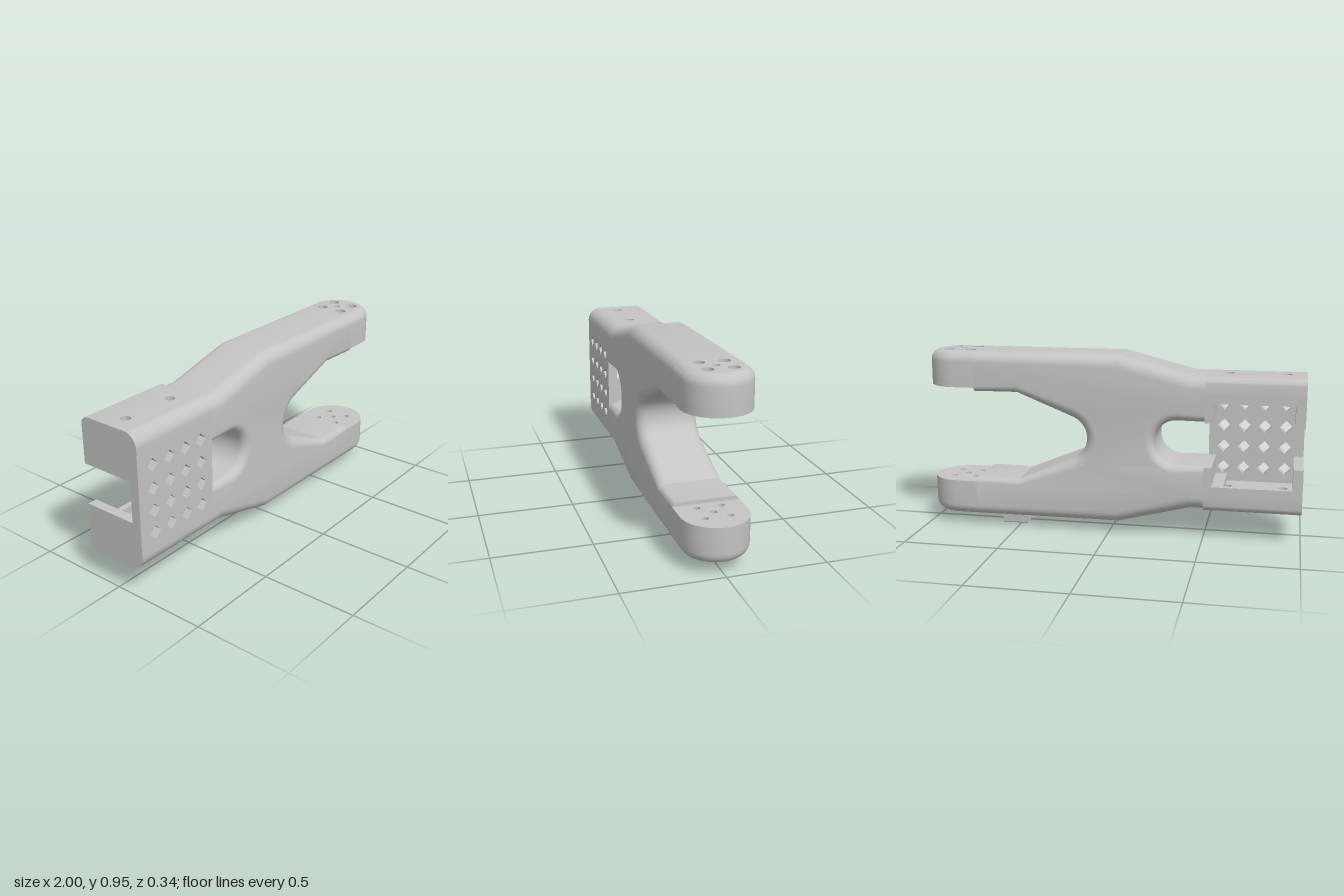
import * as THREE from 'three';
import { toCreasedNormals } from 'three/addons/utils/BufferGeometryUtils.js';

const MID = 0.502;          // height of the mirror line between the two arms
const BACK = -0.164, FRONT = 0.17;

const grey = new THREE.MeshStandardMaterial({ color: 0xc4c4c4 });
grey.name = 'plasticGrey';

function add(parent, name, geometry) {
  const mesh = new THREE.Mesh(geometry, grey);
  mesh.name = name;
  parent.add(mesh);
}

function box(parent, name, x0, x1, y0, y1, z0, z1) {
  const g = new THREE.BoxGeometry(x1 - x0, y1 - y0, z1 - z0);
  g.translate((x0 + x1) / 2, (y0 + y1) / 2, (z0 + z1) / 2);
  add(parent, name, g);
}

// Extrudes a [z, y] section along x
function prism(parent, name, section, x0, x1) {
  const shape = new THREE.Shape(section.map(([z, y]) => new THREE.Vector2(-z, y)));
  const g = new THREE.ExtrudeGeometry(shape, { depth: x1 - x0, bevelEnabled: false });
  add(parent, name, g.rotateY(Math.PI / 2).translate(x0, 0, 0));
}

// Points on an arc, angles in degrees
function arc(cx, cy, r, a0, a1, n) {
  return Array.from({ length: n + 1 }, (_, i) => {
    const a = THREE.MathUtils.degToRad(a0 + (a1 - a0) * i / n);
    return [cx + r * Math.cos(a), cy + r * Math.sin(a)];
  });
}

// Clockwise circle, for drilled holes
const hole = (x, y, r) => arc(x, y, r, 360, 20, 17);

// Slab from a counter-clockwise outline of [x, y, edgeRadius]; ends at x0 and x1 stay flush
function filletedSlab(outline, z0, z1, x0, x1, holes = [], roundBottom = true) {
  const n = outline.length, steps = 8, rings = [], pos = [], idx = [];
  const inset = outline.map(([x, y], i) => {
    const p = outline[(i + n - 1) % n], q = outline[(i + 1) % n];
    const a = new THREE.Vector2(p[1] - y, x - p[0]).normalize();
    const b = new THREE.Vector2(y - q[1], q[0] - x).normalize();
    const m = a.clone().add(b).divideScalar(1 + a.dot(b));
    if (x === x0 || x === x1) m.x = 0;
    return m;
  });
  const wall = (start, count) => {
    for (let i = 0; i < count; i++) {
      const j = (i + 1) % count, a = start + i, b = start + j;
      idx.push(a, b, b + count, a, b + count, a + count);
    }
  };
  if (!roundBottom) rings.push([0, z0, 0]);
  for (let k = 0; roundBottom && k <= steps; k++) rings.push([(k / steps - 1) * Math.PI / 2, z0, 1]);
  for (let k = 0; k <= steps; k++) rings.push([k / steps * Math.PI / 2, z1, -1]);
  rings.forEach(([a, z, s], k) => {
    outline.forEach(([x, y, r], i) => {
      const d = r * (1 - Math.cos(a));
      pos.push(x + inset[i].x * d, y + inset[i].y * d, z + s * r + r * Math.sin(a));
    });
    if (k) wall((k - 1) * n, n);
  });
  // Hole walls
  const last = (rings.length - 1) * n;
  const bottom = outline.map((_, i) => i), top = outline.map((_, i) => last + i);
  for (const h of holes) {
    const start = pos.length / 3;
    for (const z of [z0, z1]) h.forEach(([x, y]) => pos.push(x, y, z));
    h.forEach((_, i) => { bottom.push(start + i); top.push(start + h.length + i); });
    wall(start, h.length);
  }
  // Caps
  const flat = outline.map((_, i) => new THREE.Vector2(pos[(last + i) * 3], pos[(last + i) * 3 + 1]));
  const flatHoles = holes.map(h => h.map(p => new THREE.Vector2(...p)));
  THREE.ShapeUtils.triangulateShape(flat, flatHoles).forEach(([a, b, c]) => {
    idx.push(top[a], top[b], top[c], bottom[c], bottom[b], bottom[a]);
  });
  const g = new THREE.BufferGeometry();
  g.setAttribute('position', new THREE.Float32BufferAttribute(pos, 3));
  g.setIndex(idx);
  return toCreasedNormals(g, 0.4);
}

function forkBody(parent) {
  const upper = [
    ...arc(0.24, MID, 0.12, 180, 113, 9).map(p => [...p, 0.06]),
    [0.49, 0.738, 0.035], [0.72, 0.738, 0.025],
    [0.72, 0.946, 0.055], [-0.05, 0.946, 0.065], [-0.43, 0.851, 0.07], [-0.5, 0.851, 0.07],
    [-0.5, 0.618, 0.035],
    ...arc(-0.355, MID, 0.116, 90, 0, 10).map(p => [...p, 0.045]),
  ];
  const lower = upper.slice(1, -1).reverse().map(([x, y, r]) => [x, 2 * MID - y, r]);
  add(parent, 'forkBody', filletedSlab([...upper, ...lower], BACK, FRONT, -0.5, 0.72));
}

// Front cover of the housing with a grid of diamond openings
function frontPlate(parent) {
  const shape = new THREE.Shape();
  shape.moveTo(-1, 0.22).lineTo(-0.5, 0.22).lineTo(-0.5, 0.784).lineTo(-1, 0.784).closePath();
  for (const x of [-0.905, -0.795, -0.688, -0.58]) {
    for (const y of [0.323, 0.438, 0.552, 0.67]) {
      const r = 0.035;
      shape.holes.push(new THREE.Path([[x - r, y], [x, y - r], [x + r, y], [x, y + r]]
        .map(([u, v]) => new THREE.Vector2(u, v))));
    }
  }
  const g = new THREE.ExtrudeGeometry(shape, { depth: 0.05, bevelEnabled: false });
  add(parent, 'frontPlate', g.translate(0, 0, FRONT - 0.05));
}

// Everything that repeats above and below the mirror line
function half() {
  const g = new THREE.Group();

  // Housing rail with two drilled holes, a back lip and inner ledges
  const railOutline = [[-1, -FRONT, 0.07], [-0.5, -FRONT, 0.07], [-0.5, 0.172, 0.04], [-1, 0.172, 0.04]];
  const railHoles = [-0.9, -0.61].map(x => hole(x, -0.01, 0.025));
  const rail = filletedSlab(railOutline, 0.757, 0.851, -1, -0.5, railHoles, false);
  add(g, 'housingRail', rail.rotateX(-Math.PI / 2));
  box(g, 'backLip', -1, -0.5, 0.718, 0.757, -0.172, -0.14);
  box(g, 'endPost', -1, -0.95, 0.608, 0.757, -0.172, 0.125);
  box(g, 'innerLedge', -0.54, -0.5, 0.618, 0.757, -0.172, 0.125);
  box(g, 'ledgeStep', -0.6, -0.54, 0.718, 0.757, -0.14, 0.125);

  // Rounded arm tip: wide screw recesses outside, narrow holes through the pad inside
  const tipOutline = r => [
    [0.72, -0.167, r], ...arc(0.835, 0, 0.167, -90, 90, 24).map(p => [...p, r]), [0.72, 0.167, r],
  ];
  const tipHoles = r => [0.765, 0.885].flatMap(x => [-0.061, 0.061].map(y => hole(x, y, r)));
  const centre = hole(0.828, 0, 0.017);
  const layers = [
    ['armTip', 0.055, 0.8, 0.946, [...tipHoles(0.029), centre]],
    ['armTipPad', 0, 0.757, 0.8, [...tipHoles(0.016), centre]],
  ];
  for (const [name, r, y0, y1, holes] of layers) {
    const tip = filletedSlab(tipOutline(r), y0, y1, 0.72, 1.1, holes, false);
    add(g, name, tip.rotateX(-Math.PI / 2).translate(-0.002, 0, 0.003));
  }
  return g;
}

export function createModel() {
  const model = new THREE.Group();
  model.name = 'forkArm';
  forkBody(model);
  frontPlate(model);

  const upper = half();
  upper.name = 'upperHalf';
  const lower = half();
  lower.name = 'lowerHalf';
  lower.scale.y = -1;
  lower.position.y = 2 * MID;
  model.add(upper, lower);

  // Cable clip prongs under the lower arm
  prism(model, 'clipProngFront',
    [[0.115, 0.062], [0.06, 0], [0.02, 0], [0.02, 0.025], [0.05, 0.062]], 0.465, 0.6);
  prism(model, 'clipProngBack',
    [[-0.085, 0.062], [-0.08, 0.005], [-0.075, 0], [-0.015, 0], [-0.015, 0.02], [-0.05, 0.062]], 0.465, 0.6);
  return model;
}
